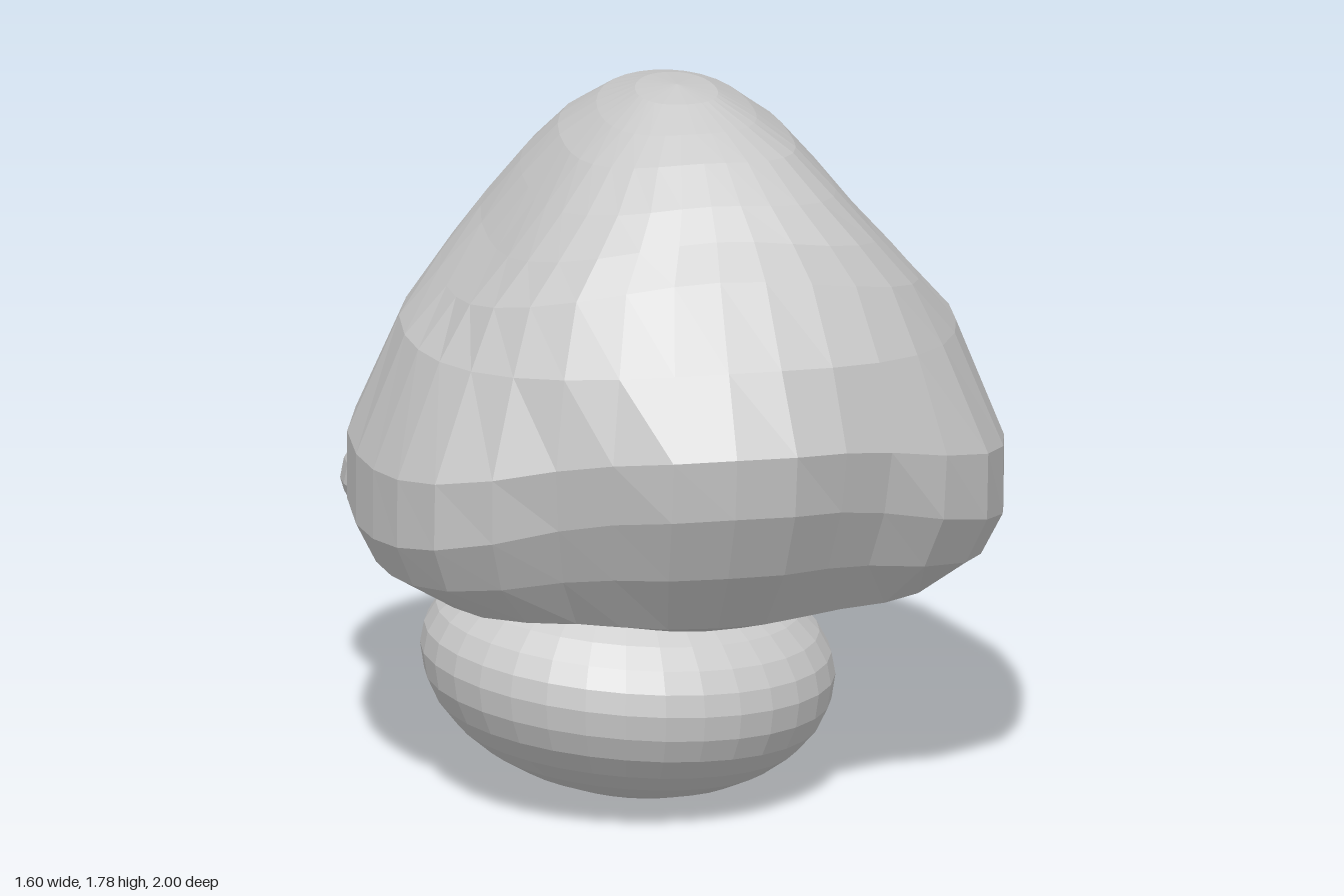
import * as THREE from 'three';

const material = new THREE.MeshStandardMaterial({ color: 0xcccccc, flatShading: true, side: THREE.DoubleSide });

// Rings from top to bottom:
// [half width, side y, front z, front y, back z, back y, front corner fullness, back corner fullness]
const RINGS = [
  [0, 1.785, 0.2, 1.785, 0.2, 1.785, 0, 0],
  [0.1, 1.768, 0.33, 1.772, 0.05, 1.77, 0.03, 0.02],
  [0.19, 1.715, 0.46, 1.735, -0.1, 1.73, 0.06, 0.04],
  [0.28, 1.645, 0.56, 1.69, -0.24, 1.65, 0.09, 0.05],
  [0.37, 1.54, 0.66, 1.61, -0.36, 1.55, 0.12, 0.05],
  [0.47, 1.415, 0.73, 1.54, -0.47, 1.44, 0.13, 0.03],
  [0.575, 1.3, 0.775, 1.45, -0.565, 1.31, 0.11, 0],
  [0.68, 1.18, 0.89, 1.25, -0.65, 1.15, 0.05, -0.04],
  [0.8, 0.88, 1.0, 1.06, -0.73, 0.95, 0, -0.09],
  [0.8, 0.7, 0.975, 0.9, -0.755, 0.82, 0, -0.09],
  [0.75, 0.6, 0.88, 0.72, -0.69, 0.69, 0, -0.1],
  [0.63, 0.535, 0.74, 0.55, -0.56, 0.55, 0, -0.1],
  [0.45, 0.51, 0.6, 0.5, -0.4, 0.45, 0, -0.1],
  [0.25, 0.47, 0.4, 0.51, -0.2, 0.42, 0, -0.1],
  [0, 0.47, 0.15, 0.47, 0.15, 0.47, 0, 0],
];

const bump = (v, centre, width) => Math.exp(-(((v - centre) / width) ** 2));

// Large dome with an egg-shaped brim, lofted through the rings
function makeDome() {
  const sides = 32;
  const geometry = new THREE.SphereGeometry(1, sides, RINGS.length - 1);
  const p = geometry.attributes.position;
  for (let i = 0; i < p.count; i++) {
    const row = Math.floor(i / (sides + 1));
    const [w, sideY, frontZ, frontY, backZ, backY, frontFull, backFull] = RINGS[row];
    const a = ((i % (sides + 1)) / sides) * Math.PI * 2;
    const dx = -Math.cos(a), dz = Math.sin(a);
    const front = dz > 0;
    const underBrim = row === 9 || row === 10;
    const centre = row === RINGS.length - 1 ? 0.15 : 0.2;
    const phi = Math.atan2(Math.abs(dx), Math.abs(dz));
    let k = 1 + (front ? frontFull : backFull) * Math.sin(2 * phi) ** 2;
    // the brim pinches in beside a blunt beak and swells at the corners
    if (row > 7) {
      k += front
        ? 0.04 * bump(phi, 1, 0.25) - (underBrim ? 0.095 : 0.065) * bump(phi, 0.52, 0.22)
        : 0.04 * bump(phi, 1.2, 0.2);
    }
    // the rear of the brim rises quickly, then runs level
    const lift = !front && underBrim ? THREE.MathUtils.smoothstep(-dz, 0.1, 0.6) : dz * dz;
    const reach = front ? frontZ - centre : centre - backZ;
    const endY = front ? frontY : backY;
    p.setXYZ(i, w * dx * k, sideY + (endY - sideY) * lift, centre + reach * dz * k);
  }
  return geometry;
}

// Flattened ball with separate upper and lower heights and a slight slope
function makePad(radius, up, down, slopeX, slopeZ) {
  const geometry = new THREE.SphereGeometry(1, 32, 16);
  const p = geometry.attributes.position;
  for (let i = 0; i < p.count; i++) {
    const x = p.getX(i) * radius, z = p.getZ(i) * radius, y = p.getY(i);
    p.setXYZ(i, x, y * (y > 0 ? up : down) + slopeX * x + slopeZ * z, z);
  }
  return geometry;
}

export function createModel() {
  const group = new THREE.Group();
  const add = (name, geometry, x = 0, y = 0, z = 0) => {
    geometry.computeVertexNormals();
    const mesh = new THREE.Mesh(geometry, material);
    mesh.name = name;
    mesh.position.set(x, y, z);
    group.add(mesh);
  };
  add('dome', makeDome());
  add('base', makePad(0.51, 0.28, 0.328, -0.08, 0), -0.13, 0.33, 0.24);
  add('rearPad', makePad(0.5, 0.26, 0.169, -0.01, 0.13), -0.2, 0.578, -0.5);
  return group;
}
